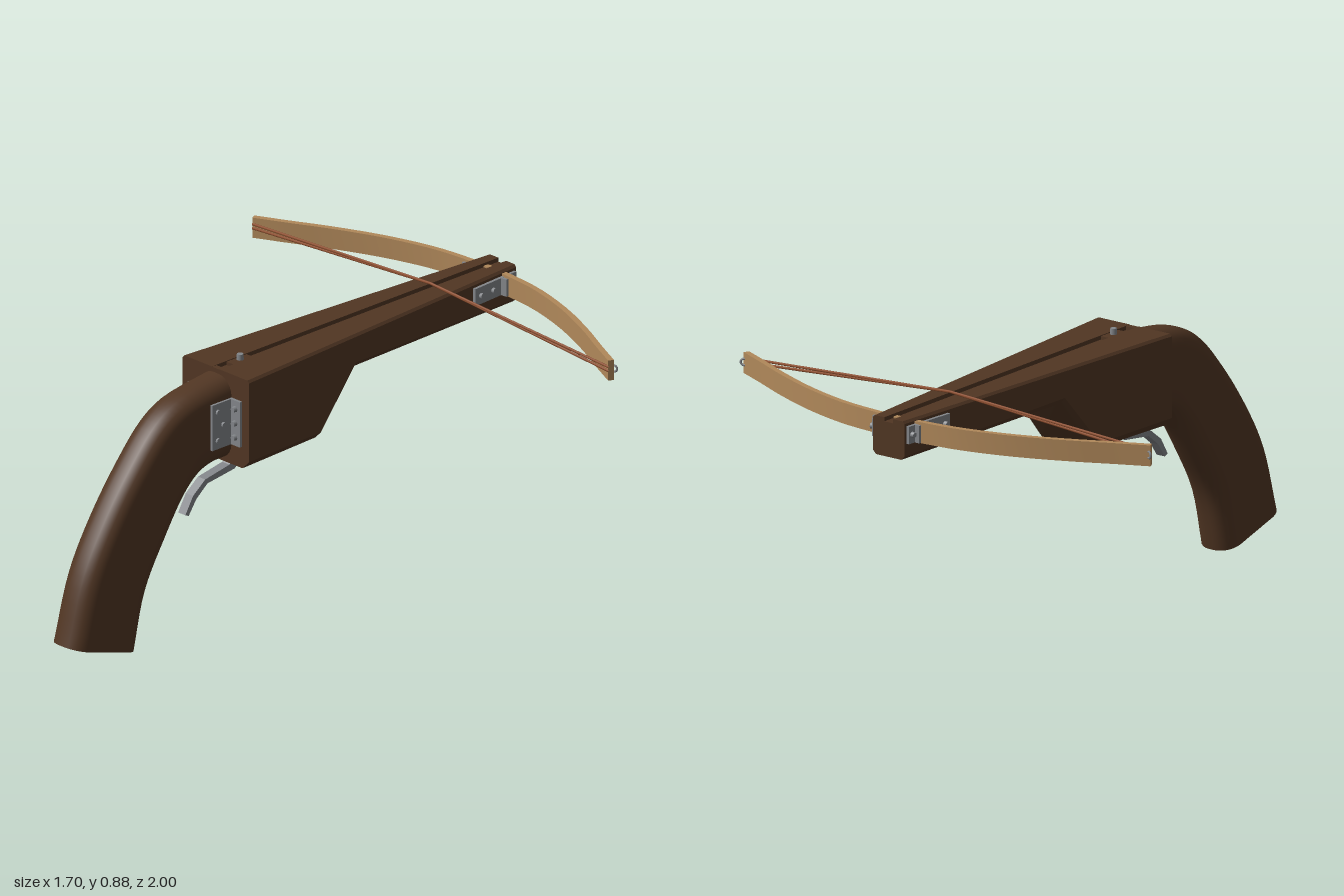
import * as THREE from 'three';
import { toCreasedNormals } from 'three/addons/utils/BufferGeometryUtils.js';

const mat = (name, color, side = THREE.FrontSide) => {
  const m = new THREE.MeshStandardMaterial({ color, side });
  m.name = name;
  return m;
};

// Skin a list of equal-length rings of [x, y, z]; outline is the 2D ring used to fill both ends.
// Rings run counter-clockwise when seen from the first end.
function loft(rings, outline) {
  const n = rings[0].length, idx = [];
  for (let r = 0; r < rings.length - 1; r++) {
    for (let i = 0; i < n; i++) {
      const a = r * n + i, b = r * n + (i + 1) % n;
      idx.push(a, a + n, b, b, a + n, b + n);
    }
  }
  const last = (rings.length - 1) * n;
  const ends = THREE.ShapeUtils.triangulateShape(outline.map(p => new THREE.Vector2(p[0], p[1])), []);
  for (const [a, b, c] of ends) idx.push(a, b, c, last + a, last + c, last + b);
  const g = new THREE.BufferGeometry();
  g.setAttribute('position', new THREE.Float32BufferAttribute(rings.flat(2), 3));
  g.setIndex(idx);
  return toCreasedNormals(g, 0.6);
}

export function createModel() {
  const model = new THREE.Group();
  model.name = 'handCrossbow';
  const wood = mat('darkWood', 0x513623);
  const paleWood = mat('paleWood', 0xb0885a);
  const steel = mat('steel', 0x83868a);
  const cord = mat('cord', 0x91502f);

  const add = (name, geo, material, pos = [0, 0, 0], parent = model) => {
    const m = new THREE.Mesh(geo, material);
    m.name = name;
    m.position.set(...pos);
    parent.add(m);
    return m;
  };

  // Tapering stock with chamfered edges and a bolt groove: [z, bottom, groove depth]
  const top = 0.867, slope = 0.09 / 1.3;
  const halfWidth = z => 0.065 + (z + 1) * slope;
  const stockRing = ([z, b, d]) => {
    const w = halfWidth(z), c = 0.2 * w, e = 0.008, g = 0.018;
    const half = [[w - c, b], [w, b + c], [w, top - e], [w - e, top], [g, top], [g, top - d]];
    return [...half, ...half.map(([x, y]) => [-x, y]).reverse()].map(([x, y]) => [x, y, z]);
  };
  const stockRings = [
    [0.3, 0.55, 0.001], [0.28, 0.55, 0.001], [0.279, 0.55, 0.014],
    [-0.05, 0.55, 0.014], [-0.22, 0.745, 0.014], [-1, 0.735, 0.014],
  ].map(stockRing);
  add('stock', loft(stockRings, stockRings[0]), wood);

  // Curved grip swept between its back and front outlines, in [z, y]
  const curve = pts => new THREE.CatmullRomCurve3(pts.map(([z, y]) => new THREE.Vector3(0, y, z)));
  const back = curve([[1, 0.09], [0.93, 0.32], [0.84, 0.48], [0.72, 0.64], [0.6, 0.765], [0.5, 0.818], [0.28, 0.853]]);
  const front = curve([[0.71, 0.004], [0.66, 0.2], [0.57, 0.36], [0.48, 0.49], [0.42, 0.54], [0.36, 0.558], [0.28, 0.56]]);
  const gripHalf = 0.073, radius = 0.062, steps = 6;
  const gripOutline = h => {
    const out = [];
    [[1, 1], [-1, 1], [-1, -1], [1, -1]].forEach(([sx, sv], q) => {
      for (let i = 0; i <= steps; i++) {
        const a = (q + i / steps) * Math.PI / 2;
        out.push([sx * (gripHalf - radius) + radius * Math.cos(a), sv * (h - radius) + radius * Math.sin(a)]);
      }
    });
    return out;
  };
  const gripRings = [];
  for (let k = 0; k <= 30; k++) {
    const p = back.getPoint(k / 30), q = front.getPoint(k / 30);
    const h = p.distanceTo(q) / 2;
    const mid = p.clone().add(q).multiplyScalar(0.5), up = p.clone().sub(q).normalize();
    gripRings.push(gripOutline(h).map(([x, v]) => [x, mid.y + up.y * v, mid.z + up.z * v]));
  }
  add('grip', loft(gripRings, gripOutline(0.15)), wood);

  // Bow limbs: one flat strip bent along a curve
  const limb = [[0.1, -0.938], [0.24, -0.922], [0.42, -0.872], [0.6, -0.797], [0.72, -0.737], [0.835, -0.682]];
  const bowCurve = new THREE.CatmullRomCurve3([
    ...limb.map(([x, z]) => new THREE.Vector3(-x, 0, z)).reverse(),
    new THREE.Vector3(0, 0, -0.943),
    ...limb.map(([x, z]) => new THREE.Vector3(x, 0, z)),
  ]);
  const bowSection = [[0.01, 0.787], [0.01, 0.858], [-0.01, 0.858], [-0.01, 0.787]];
  const bowRings = [];
  for (let k = 0; k <= 40; k++) {
    const p = bowCurve.getPoint(k / 40), t = bowCurve.getTangent(k / 40);
    bowRings.push(bowSection.map(([o, y]) => [p.x - t.z * o, y, p.z + t.x * o]));
  }
  add('bow', loft(bowRings, bowSection), paleWood);

  const bolt = (name, pos, axis, parent) => {
    const g = new THREE.CylinderGeometry(0.009, 0.011, 0.014, 8);
    if (axis === 'x') g.rotateZ(Math.PI / 2);
    if (axis === 'z') g.rotateX(Math.PI / 2);
    return add(name, g, steel, pos, parent);
  };
  const box = (x, y, z) => new THREE.BoxGeometry(x, y, z);

  for (const s of [1, -1]) {
    const side = s > 0 ? 'left' : 'right';

    // Angle brackets joining grip and stock
    const gripBracket = new THREE.Group();
    gripBracket.name = side + 'GripBracket';
    model.add(gripBracket);
    add('gripPlate', box(0.01, 0.16, 0.095), steel, [s * 0.076, 0.705, 0.3475], gripBracket);
    add('stockPlate', box(0.05, 0.16, 0.01), steel, [s * 0.097, 0.705, 0.305], gripBracket);
    for (const y of [0.655, 0.705, 0.755]) bolt('bolt', [s * 0.1, y, 0.315], 'z', gripBracket);
    for (const [y, z] of [[0.655, 0.37], [0.705, 0.345], [0.755, 0.37]]) {
      bolt('bolt', [s * 0.082, y, z], 'x', gripBracket);
    }

    // Bow brackets lying along the tapered stock sides
    const bowBracket = new THREE.Group();
    bowBracket.name = side + 'BowBracket';
    bowBracket.position.set(s * halfWidth(-0.89), 0.82, -0.89);
    bowBracket.rotation.y = s * Math.atan(slope);
    model.add(bowBracket);
    add('sidePlate', box(0.012, 0.06, 0.2), steel, [s * 0.005, 0, 0], bowBracket);
    add('backFlange', box(0.034, 0.06, 0.01), steel, [s * 0.016, 0, -0.03], bowBracket);
    add('frontFlange', box(0.03, 0.06, 0.01), steel, [s * 0.014, 0, -0.066], bowBracket);
    for (const z of [-0.085, 0.015, 0.075]) bolt('bolt', [s * 0.016, 0, z], 'x', bowBracket);

    // Tip hook
    const hook = add(side + 'TipHook', new THREE.TorusGeometry(0.011, 0.004, 6, 12), steel, [s * 0.836, 0.826, -0.694]);
    hook.rotation.y = s * 0.45;

    // Twin strands from the tip to the middle of the string
    for (const y of [0.834, 0.82]) {
      const line = new THREE.LineCurve3(new THREE.Vector3(s * 0.832, y, -0.676), new THREE.Vector3(0, 0.878, -0.674));
      add(side + 'String', new THREE.TubeGeometry(line, 1, 0.0045, 6), cord);
    }
  }

  // Trigger lever, drawn in (z, y) and extruded across x
  const lever = [[0.17, 0.56], [0.23, 0.497], [0.355, 0.48], [0.405, 0.44], [0.44, 0.39],
    [0.455, 0.397], [0.42, 0.455], [0.365, 0.497], [0.255, 0.517], [0.215, 0.56]];
  const leverShape = new THREE.Shape(lever.map(([z, y]) => new THREE.Vector2(-z, y)));
  const leverGeo = new THREE.ExtrudeGeometry(leverShape, { depth: 0.034, bevelEnabled: false });
  leverGeo.translate(0, 0, -0.017).rotateY(Math.PI / 2);
  add('trigger', leverGeo, steel);

  // String catch in the groove
  add('catchPlate', box(0.034, 0.012, 0.09), wood, [0, 0.859, 0.19]);
  add('catchPin', new THREE.CylinderGeometry(0.011, 0.013, 0.03, 10), steel, [0, 0.87, 0.19]);

  return model;
}
